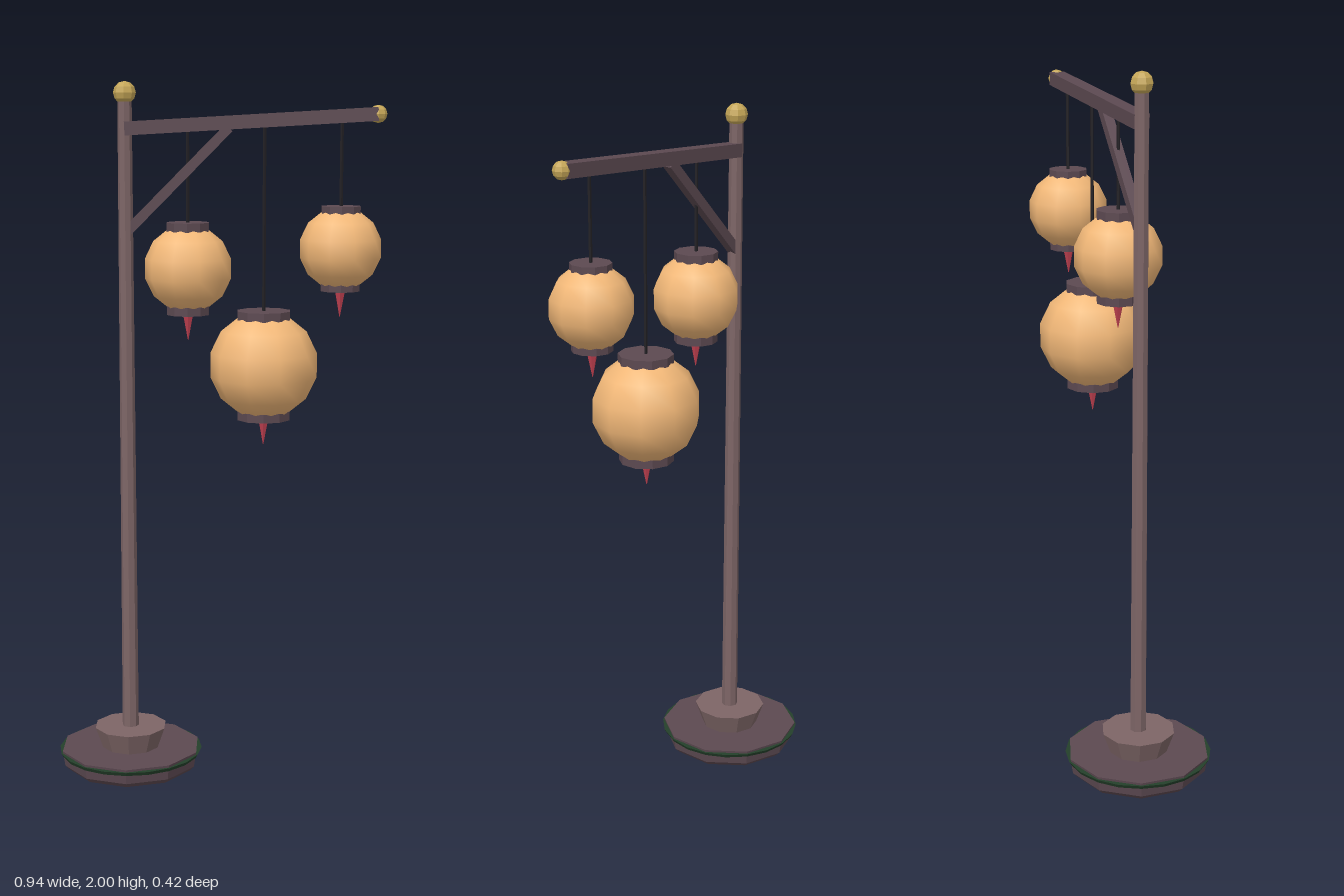
import * as THREE from 'three';

const mat = (color, flatShading = true) => {
  const m = new THREE.MeshStandardMaterial({ color });
  m.flatShading = flatShading;
  return m;
};
const wood = mat(0x5c4951), paleWood = mat(0x7d6566), green = mat(0x24402a);
const gold = mat(0xc4a557), paper = mat(0xf2b878, false), red = mat(0xc04050), dark = mat(0x222024);

export function createModel() {
  const model = new THREE.Group();
  const poleX = -0.26;

  const add = (name, geometry, material, x, y, parent = model) => {
    const mesh = new THREE.Mesh(geometry, material);
    mesh.name = name;
    mesh.position.set(x, y, 0);
    parent.add(mesh);
    return mesh;
  };
  // Upright cylinder between two heights
  const post = (name, rTop, rBottom, y0, y1, sides, material, x, parent) =>
    add(name, new THREE.CylinderGeometry(rTop, rBottom, y1 - y0, sides), material, x, (y0 + y1) / 2, parent);
  // Square beam between two points in the front plane
  const beam = (name, x0, y0, x1, y1, height, depth) => {
    const length = Math.hypot(x1 - x0, y1 - y0);
    const mesh = add(name, new THREE.BoxGeometry(length, height, depth), wood, (x0 + x1) / 2, (y0 + y1) / 2);
    mesh.rotation.z = Math.atan2(y1 - y0, x1 - x0);
  };

  // Stepped foot with a thin trim ring
  post('footBevel', 0.2, 0.185, 0, 0.015, 10, wood, poleX);
  post('foot', 0.207, 0.2, 0.015, 0.06, 10, wood, poleX);
  post('footTrim', 0.211, 0.205, 0.042, 0.053, 20, green, poleX);
  post('plinth', 0.107, 0.085, 0.06, 0.122, 10, paleWood, poleX);

  // Pole with its finial
  post('pole', 0.02, 0.024, 0.12, 1.95, 8, paleWood, poleX);
  add('poleFinial', new THREE.SphereGeometry(0.032, 8, 6), gold, poleX, 1.968);

  // Rising arm, end knob and diagonal brace
  beam('arm', -0.26, 1.87, 0.445, 1.91, 0.038, 0.044);
  add('armKnob', new THREE.SphereGeometry(0.025, 8, 6), gold, 0.445, 1.91);
  beam('brace', -0.255, 1.585, 0.03, 1.872, 0.028, 0.028);

  // Hanging lanterns: position, body radius, cap radius and overall half height
  const lanterns = [
    { x: -0.085, y: 1.48, r: 0.125, cap: 0.062, half: 0.13 },
    { x: 0.13, y: 1.205, r: 0.156, cap: 0.078, half: 0.156 },
    { x: 0.345, y: 1.537, r: 0.117, cap: 0.057, half: 0.119 },
  ];
  for (const { x, y, r, cap, half } of lanterns) {
    const lantern = new THREE.Group();
    lantern.name = 'lantern';
    lantern.position.set(x, y, 0);
    model.add(lantern);
    add('lanternBody', new THREE.SphereGeometry(r, 10, 7), paper, 0, 0, lantern);
    post('topCap', cap, cap, half - 0.025, half, 10, wood, 0, lantern);
    post('bottomCap', cap, cap, -half, -half + 0.025, 10, wood, 0, lantern);
    post('tassel', 0.016, 0.001, -half - 0.073, -half, 6, red, 0, lantern);
    post('cord', 0.005, 0.005, half, 1.885 + x * 0.057 - y, 5, dark, 0, lantern);
  }
  return model;
}
